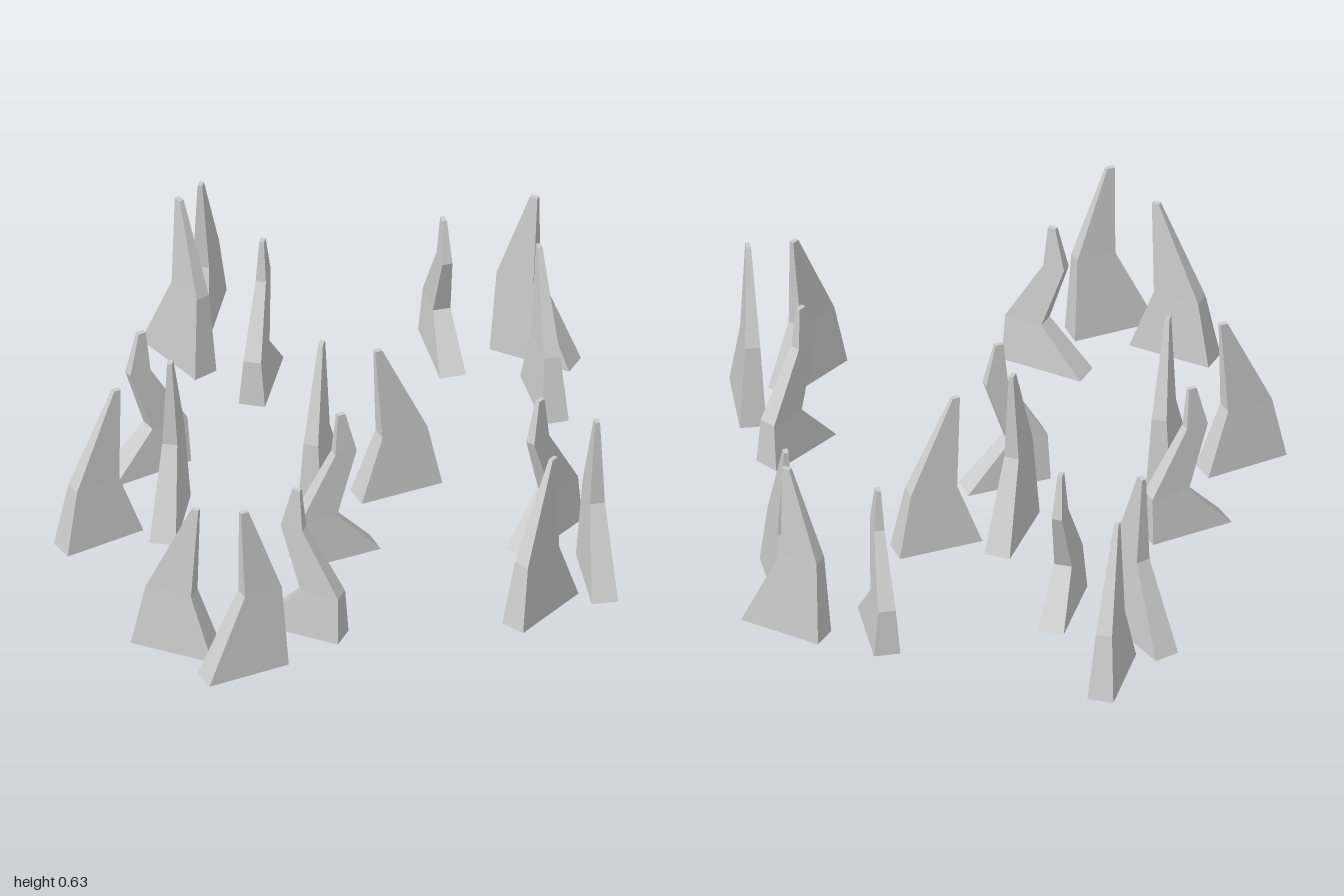
import * as THREE from 'three';

const material = new THREE.MeshStandardMaterial({ color: 0xcccccc, flatShading: true });

// Spike from stacked rectangles: [height, left edge, right edge, thickness]
function spikeGeometry(rings) {
  const n = rings.length - 1;
  const geo = new THREE.BoxGeometry(1, n, 1, 1, n, 1);
  const p = geo.attributes.position;
  for (let i = 0; i < p.count; i++) {
    const [y, left, right, thick] = rings[Math.round(p.getY(i) + n / 2)];
    p.setXYZ(i, p.getX(i) < 0 ? left : right, y, p.getZ(i) * thick);
  }
  const flat = geo.toNonIndexed();
  flat.computeVertexNormals();
  return flat;
}

// The three spikes of a cluster: place and turn (degrees) within the cluster
const spikes = [
  {
    name: 'tallSpike', x: 0, z: 0, turn: 106.4,
    geo: spikeGeometry([[0, -0.127, 0.127, 0.077], [0.265, -0.005, 0.113, 0.044], [0.55, -0.01, 0.014, 0.014]]),
  },
  {
    name: 'leaningSpike', x: 0.214, z: -0.063, turn: -24.5,
    geo: spikeGeometry([[0, -0.127, 0.127, 0.077], [0.2, -0.055, 0.087, 0.048], [0.495, -0.07, -0.048, 0.014]]),
  },
  {
    name: 'crookedSpike', x: 0.037, z: 0.265, turn: 156.1,
    geo: spikeGeometry([[0, -0.127, 0.127, 0.077], [0.147, 0.005, 0.122, 0.052],
      [0.35, -0.062, 0.005, 0.03], [0.48, -0.03, -0.006, 0.014]]),
  },
];

// Clusters: x, y, z, turn (degrees, from +x towards +z)
const clusters = [
  [-0.042, 0, -0.053, 0],
  [-0.452, 0.077, -0.661, -54],
  [0.571, 0.077, -0.668, 99.7],
  [-0.478, 0.077, 0.156, 173.3],
  [0.747, 0.077, 0.45, 153.3],
  [-0.269, 0.077, 0.902, -132.4],
];

export function createModel() {
  const model = new THREE.Group();
  model.name = 'spikeField';
  clusters.forEach(([x, y, z, turn], i) => {
    const cluster = new THREE.Group();
    cluster.name = `spikeCluster${i + 1}`;
    cluster.position.set(x, y, z);
    cluster.rotation.y = -THREE.MathUtils.degToRad(turn);
    for (const s of spikes) {
      const mesh = new THREE.Mesh(s.geo, material);
      mesh.name = s.name;
      mesh.position.set(s.x, 0, s.z);
      mesh.rotation.y = -THREE.MathUtils.degToRad(s.turn);
      cluster.add(mesh);
    }
    model.add(cluster);
  });
  return model;
}
